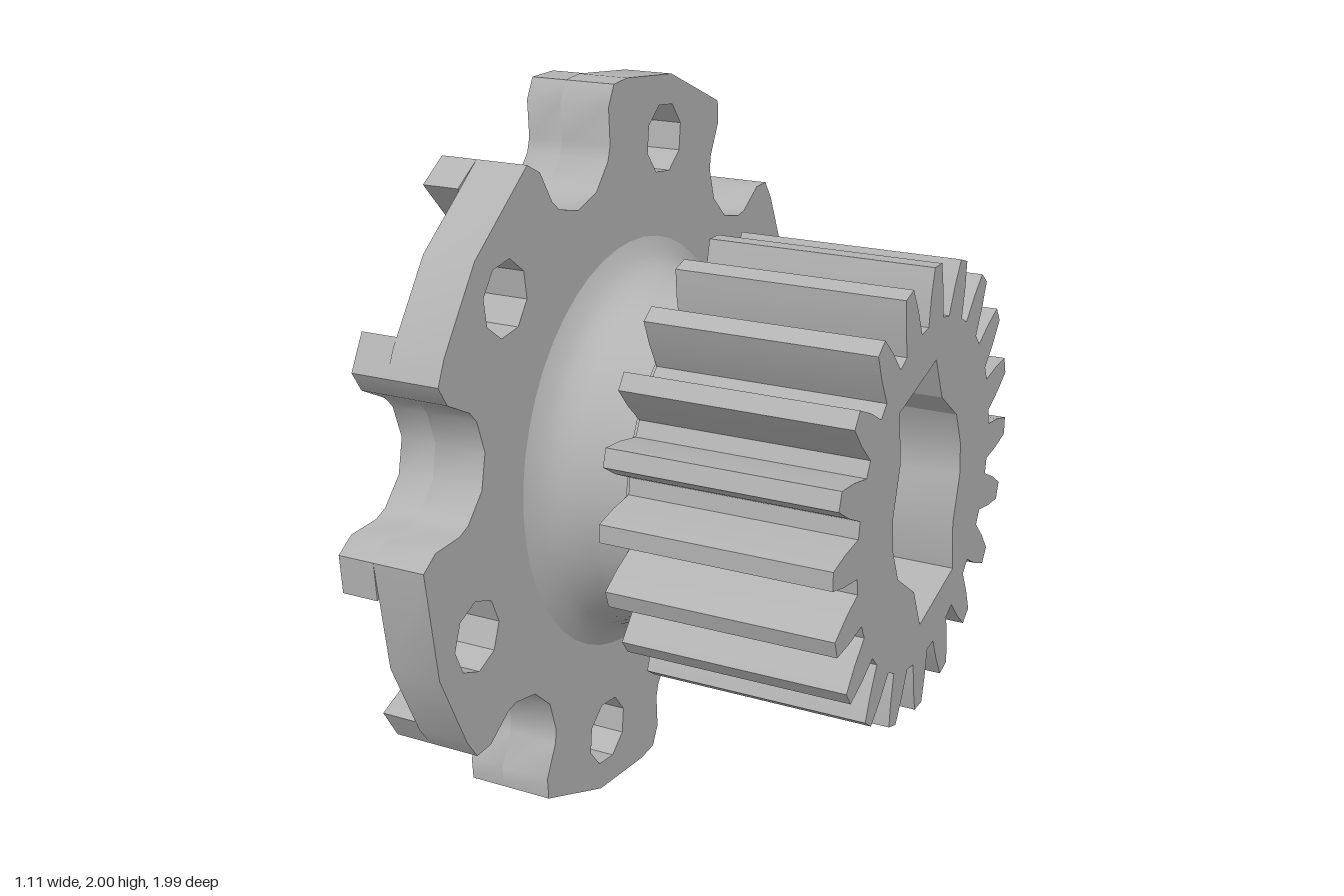
import * as THREE from 'three';
import { toCreasedNormals } from 'three/addons/utils/BufferGeometryUtils.js';

const steel = new THREE.MeshStandardMaterial({ color: 0xb2b2b2 });
steel.name = 'plain grey';

const rad = THREE.MathUtils.degToRad;
const polar = (r, deg) => new THREE.Vector2(r * Math.cos(rad(deg)), r * Math.sin(rad(deg)));
const turn = ([x, y], deg) => new THREE.Vector2(x, y).rotateAround(new THREE.Vector2(), rad(deg));
const mirrored = (pts) => [...pts, ...pts.map(([a, t]) => [a, -t]).reverse()];

const NOTCH = 46.6; // direction of the first notch; lobes sit 30 degrees further on

// One side of a notch: radial distance, sideways distance
const notchSide = [[0.973, 0.218], [0.93, 0.174], [0.835, 0.149], [0.802, 0.126], [0.755, 0.047]];
const ribSide = [[0.735, 0.215], [0.945, 0.315]];

// Keyed bore, symmetric under a half turn
const boreHalf = [[-0.22, 0.297], [0.021, 0.36], [0.075, 0.243], [0.193, 0.158], [0.235, 0.062], [0.241, -0.03], [0.203, -0.158]];
const borePath = () => new THREE.Path([...boreHalf.map((p) => turn(p, 0)), ...boreHalf.map((p) => turn(p, 180))]);

// Extrude an outline along the axle, from x0 to x1
function slab(name, shape, x0, x1, crease = 0.62) {
  const geo = new THREE.ExtrudeGeometry(shape, { depth: x1 - x0, bevelEnabled: false, curveSegments: 24 });
  geo.translate(0, 0, x0);
  geo.rotateY(Math.PI / 2);
  const mesh = new THREE.Mesh(crease ? toCreasedNormals(geo, crease) : geo, steel);
  mesh.name = name;
  return mesh;
}

function flangePlate() {
  const pts = [];
  for (let i = 0; i < 6; i++) {
    const a = NOTCH + 60 * i;
    // notch from its clockwise side round to the other, then the lobe's rim
    pts.push(...mirrored(notchSide).reverse().map((p) => turn(p, a)));
    pts.push(polar(1.003, a + 29.7), polar(1, a + 43.4));
  }
  const shape = new THREE.Shape(pts);
  shape.holes.push(borePath());
  for (let i = 0; i < 6; i++) {
    const c = polar(0.832, NOTCH + 30 + 60 * i);
    shape.holes.push(new THREE.Path(Array.from({ length: 8 }, (_, k) => polar(0.096, 45 * k + 15 + 60 * i).add(c))));
  }
  return slab('flangePlate', shape, -0.455, -0.312);
}

function notchRibs() {
  const group = new THREE.Group();
  group.name = 'notchRibs';
  const inner = mirrored(notchSide);
  const outer = mirrored([...ribSide].reverse().concat([[0.655, 0.1]])).reverse();
  for (let i = 0; i < 6; i++) {
    const pts = [...inner, ...outer].map((p) => turn(p, NOTCH + 60 * i));
    group.add(slab('notchRib', new THREE.Shape(pts), -0.555, -0.455));
  }
  return group;
}

function gear() {
  const pts = [];
  for (let i = 0; i < 20; i++) {
    const a = 89 + 18 * i;
    for (const [r, d] of [[0.465, -6.3], [0.54, -4.4], [0.608, -2.3], [0.608, 2.3], [0.54, 4.4], [0.465, 6.3]]) {
      pts.push(polar(r, a + d));
    }
  }
  const shape = new THREE.Shape(pts);
  shape.holes.push(borePath());
  return slab('gear', shape, -0.07, 0.55, 0.5);
}

// Neck with a fillet where it meets the flange
function neck() {
  const profile = [[0.57, -0.312], [0.53, -0.292], [0.502, -0.262], [0.484, -0.22], [0.477, -0.18], [0.475, -0.07]];
  const geo = new THREE.LatheGeometry(profile.map(([r, y]) => new THREE.Vector2(r, y)), 48);
  geo.rotateZ(-Math.PI / 2);
  const mesh = new THREE.Mesh(geo, steel);
  mesh.name = 'neck';
  return mesh;
}

// Core that carries the bore through the neck
function neckCore() {
  const shape = new THREE.Shape().absarc(0, 0, 0.46, 0, Math.PI * 2);
  shape.holes.push(borePath());
  return slab('neckCore', shape, -0.312, -0.07);
}

export function createModel() {
  const model = new THREE.Group();
  model.name = 'flangedGear';
  model.add(flangePlate(), notchRibs(), neck(), neckCore(), gear());
  model.position.y = 1;
  const root = new THREE.Group();
  root.add(model);
  return root;
}
